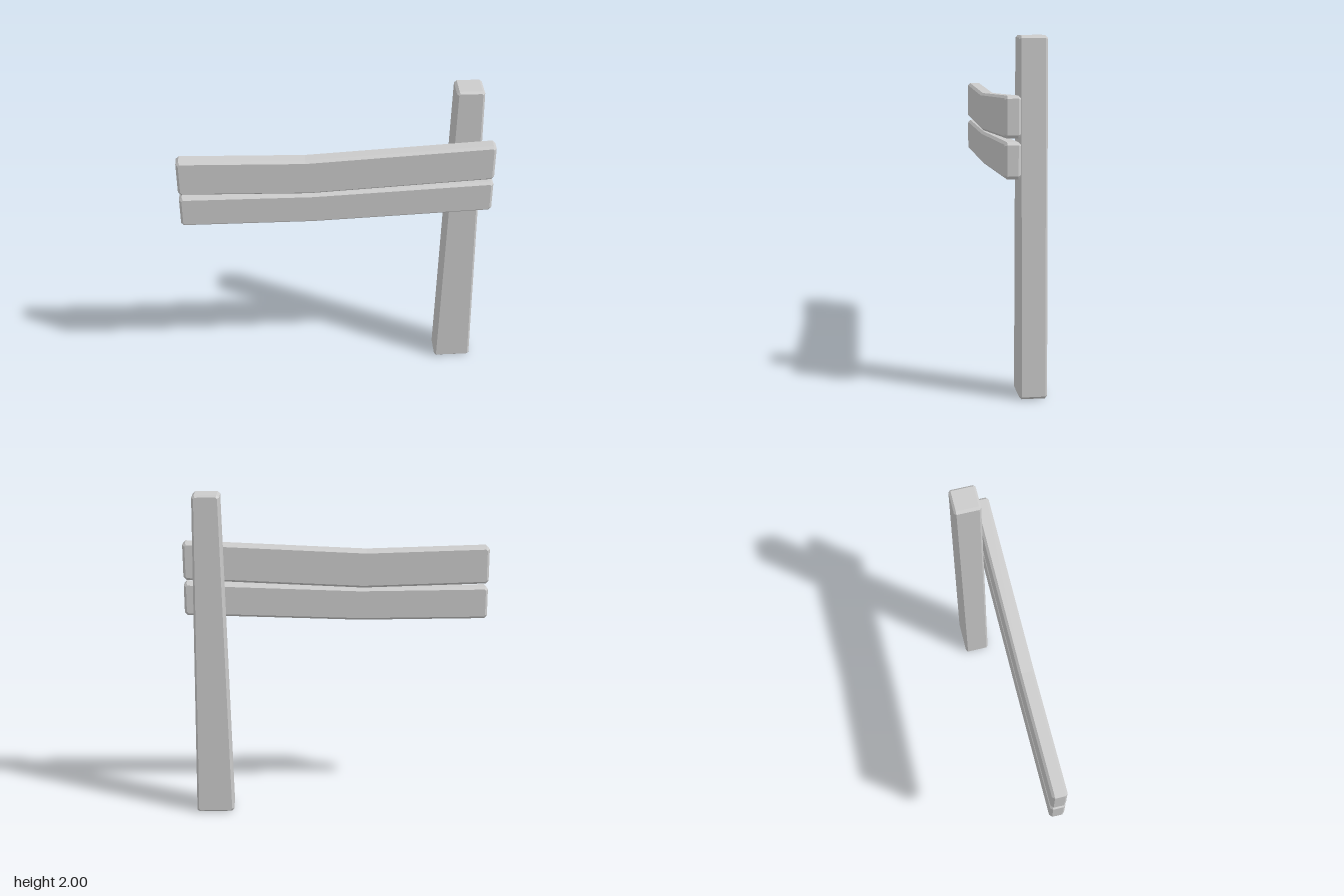
import * as THREE from 'three';

const material = new THREE.MeshStandardMaterial({ color: 0xcccccc });

// Outline whose sharp corners are cut; shallow bends stay as single points
function cutOutline(corners, cut) {
  const points = corners.map(([x, y]) => new THREE.Vector2(x, y));
  const n = points.length;
  const outline = [];
  points.forEach((p, i) => {
    const toPrev = points[(i + n - 1) % n].clone().sub(p).normalize();
    const toNext = points[(i + 1) % n].clone().sub(p).normalize();
    if (toPrev.dot(toNext) < -0.9) {
      outline.push(p);
    } else {
      outline.push(p.clone().addScaledVector(toPrev, cut), p.clone().addScaledVector(toNext, cut));
    }
  });
  return new THREE.Shape(outline);
}

// Beam with chamfered edges, spanning zBack to zFront
function beam(name, corners, zBack, zFront, bevel) {
  const geometry = new THREE.ExtrudeGeometry(cutOutline(corners, bevel * 1.2), {
    depth: zFront - zBack - 2 * bevel,
    bevelEnabled: true,
    bevelThickness: bevel,
    bevelSize: bevel,
    bevelOffset: -bevel,
    bevelSegments: 1,
  });
  geometry.translate(0, 0, zBack + bevel);
  const mesh = new THREE.Mesh(geometry, material);
  mesh.name = name;
  return mesh;
}

export function createModel() {
  const group = new THREE.Group();
  group.name = 'fenceSection';

  // Tapered upright post
  group.add(beam('post', [[0.65, 0], [0.88, 0], [0.845, 2], [0.685, 2]], -0.122, 0.034, 0.012));

  // Two slightly bent rails fixed to the front of the post
  group.add(beam('upperRail', [
    [-0.922, 1.415], [-0.16, 1.397], [0.922, 1.458],
    [0.922, 1.687], [-0.18, 1.625], [-0.922, 1.643],
  ], 0.034, 0.122, 0.014));
  group.add(beam('lowerRail', [
    [-0.92, 1.195], [-0.14, 1.194], [0.922, 1.238],
    [0.922, 1.439], [-0.14, 1.391], [-0.92, 1.394],
  ], 0.034, 0.122, 0.014));

  return group;
}
